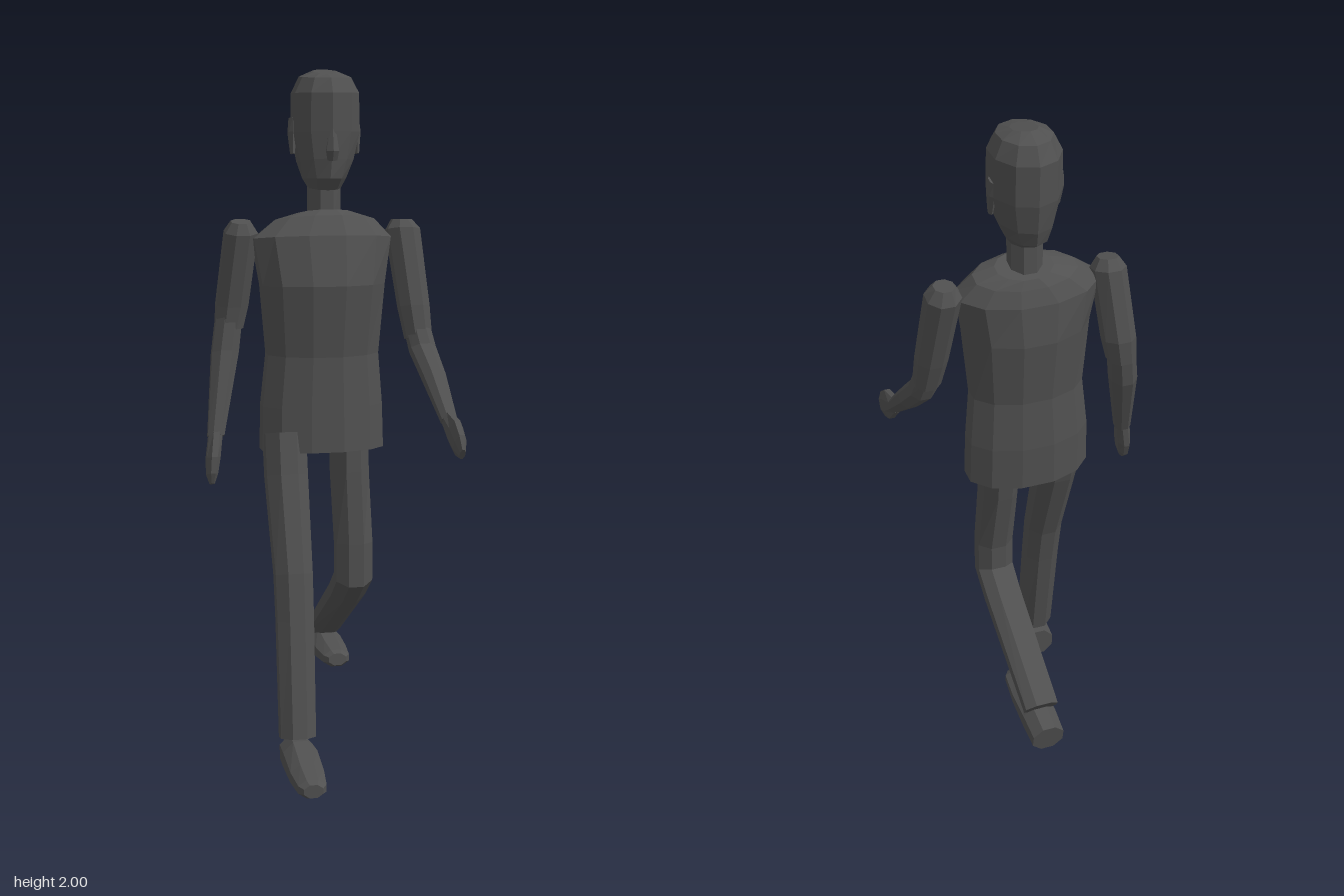
import * as THREE from 'three';

const grey = new THREE.MeshStandardMaterial({ color: 0x505050, flatShading: true });
grey.name = 'charcoal grey';

// Skins closed rings [x, y, z, half width along x, half depth] square to the path they follow.
function loft(name, rings, sides = 8) {
  const pos = [], index = [], n = rings.length;
  const grow = 1 / Math.cos(Math.PI / sides);
  const last = n * sides;
  rings.forEach(([x, y, z, rx, rd], i) => {
    const a = rings[Math.max(i - 1, 0)], b = rings[Math.min(i + 1, n - 1)];
    const dy = b[1] - a[1], dz = b[2] - a[2], len = Math.hypot(dy, dz);
    for (let j = 0; j < sides; j++) {
      const t = ((j + 0.5) / sides) * Math.PI * 2;
      const s = Math.sin(t) * rd * grow / len;
      pos.push(x + Math.cos(t) * rx * grow, y + s * dz, z - s * dy);
    }
  });
  pos.push(...rings[0].slice(0, 3), ...rings[n - 1].slice(0, 3));
  for (let j = 0; j < sides; j++) {
    const k = (j + 1) % sides;
    for (let i = 0; i < n - 1; i++) {
      const p = i * sides, q = p + sides;
      index.push(p + j, p + k, q + k, p + j, q + k, q + j);
    }
    index.push(last, k, j, last + 1, last - sides + j, last - sides + k);
  }
  const geo = new THREE.BufferGeometry();
  geo.setAttribute('position', new THREE.Float32BufferAttribute(pos, 3));
  geo.setIndex(index);
  geo.computeVertexNormals();
  const mesh = new THREE.Mesh(geo, grey);
  mesh.name = name;
  return mesh;
}

export function createModel() {
  const model = new THREE.Group();
  model.name = 'walkingFigure';
  const add = (...args) => model.add(loft(...args));

  // Torso with sloping shoulders, narrow waist and straight hem
  add('torso', [
    [0.02, 1.6, -0.06, 0.08, 0.06],
    [0.015, 1.58, -0.055, 0.145, 0.078],
    [0.005, 1.53, -0.042, 0.2, 0.105],
    [0.005, 1.4, -0.028, 0.178, 0.125],
    [0.005, 1.2, -0.03, 0.162, 0.1],
    [0.003, 1.05, -0.031, 0.176, 0.105],
    [0.003, 0.92, -0.026, 0.179, 0.106],
  ], 12);

  // Head and neck
  add('neck', [[0.015, 1.71, -0.05, 0.045, 0.045], [0.015, 1.58, -0.05, 0.045, 0.047]]);
  add('head', [
    [0.02, 2.0, -0.06, 0.035, 0.045],
    [0.02, 1.985, -0.062, 0.07, 0.09],
    [0.02, 1.94, -0.062, 0.092, 0.112],
    [0.02, 1.83, -0.06, 0.094, 0.11],
    [0.018, 1.75, -0.053, 0.077, 0.102],
    [0.015, 1.7, -0.048, 0.058, 0.092],
    [0.015, 1.675, -0.05, 0.045, 0.065],
  ], 10);
  add('nose', [
    [0.02, 1.86, 0.038, 0.008, 0.012],
    [0.02, 1.78, 0.046, 0.018, 0.02],
    [0.02, 1.755, 0.042, 0.014, 0.012],
  ], 6);
  for (const [name, x] of [['rightEar', -0.075], ['leftEar', 0.112]]) {
    add(name, [[x, 1.87, -0.07, 0.007, 0.018], [x, 1.83, -0.065, 0.011, 0.02],
      [x, 1.77, -0.055, 0.006, 0.01]], 6);
  }

  // Right arm, swung back
  add('rightUpperArm', [
    [-0.225, 1.58, -0.055, 0.028, 0.032],
    [-0.225, 1.55, -0.06, 0.047, 0.05],
    [-0.248, 1.34, -0.095, 0.046, 0.048],
    [-0.258, 1.27, -0.095, 0.04, 0.042],
  ]);
  add('rightForearm', [
    [-0.255, 1.32, -0.098, 0.038, 0.042],
    [-0.272, 1.2, -0.08, 0.039, 0.042],
    [-0.312, 0.97, 0.002, 0.024, 0.025],
  ]);
  add('rightHand', [
    [-0.312, 0.98, 0.0, 0.02, 0.025],
    [-0.323, 0.91, 0.02, 0.02, 0.04],
    [-0.328, 0.865, 0.032, 0.016, 0.033],
    [-0.329, 0.838, 0.04, 0.007, 0.015],
  ]);

  // Left arm, swung forward
  add('leftUpperArm', [
    [0.247, 1.58, -0.062, 0.028, 0.032],
    [0.25, 1.55, -0.06, 0.048, 0.05],
    [0.272, 1.33, -0.006, 0.044, 0.044],
    [0.282, 1.24, 0.015, 0.038, 0.036],
  ]);
  add('leftForearm', [
    [0.278, 1.28, 0.005, 0.036, 0.035],
    [0.29, 1.21, 0.035, 0.037, 0.036],
    [0.305, 1.14, 0.11, 0.033, 0.033],
    [0.318, 1.035, 0.235, 0.022, 0.022],
  ]);
  add('leftHand', [
    [0.318, 1.04, 0.23, 0.02, 0.024],
    [0.322, 1.01, 0.285, 0.02, 0.044],
    [0.323, 0.985, 0.33, 0.017, 0.038],
    [0.323, 0.965, 0.36, 0.008, 0.018],
  ]);

  // Right leg, stepping forward
  add('rightLeg', [
    [-0.112, 0.97, 0.0, 0.06, 0.068],
    [-0.112, 0.85, 0.03, 0.06, 0.064],
    [-0.108, 0.58, 0.118, 0.054, 0.053],
    [-0.108, 0.45, 0.143, 0.053, 0.05],
    [-0.112, 0.12, 0.205, 0.051, 0.049],
  ]);
  add('rightFoot', [
    [-0.107, 0.055, 0.146, 0.047, 0.048],
    [-0.107, 0.059, 0.22, 0.05, 0.052],
    [-0.107, 0.049, 0.33, 0.048, 0.037],
    [-0.107, 0.045, 0.41, 0.04, 0.027],
    [-0.107, 0.045, 0.43, 0.027, 0.019],
  ]);

  // Left leg, knee bent and shin trailing
  add('leftLeg', [
    [0.083, 0.97, -0.02, 0.053, 0.072],
    [0.083, 0.85, -0.008, 0.053, 0.066],
    [0.09, 0.64, 0.018, 0.054, 0.049],
    [0.09, 0.535, 0.018, 0.054, 0.052],
    [0.088, 0.475, -0.055, 0.053, 0.046],
    [0.075, 0.268, -0.357, 0.05, 0.038],
  ]);
  add('leftFoot', [
    [0.075, 0.2, -0.42, 0.047, 0.046],
    [0.075, 0.215, -0.34, 0.05, 0.049],
    [0.075, 0.219, -0.24, 0.048, 0.035],
    [0.075, 0.224, -0.155, 0.04, 0.026],
    [0.075, 0.226, -0.135, 0.027, 0.018],
  ]);
  return model;
}
